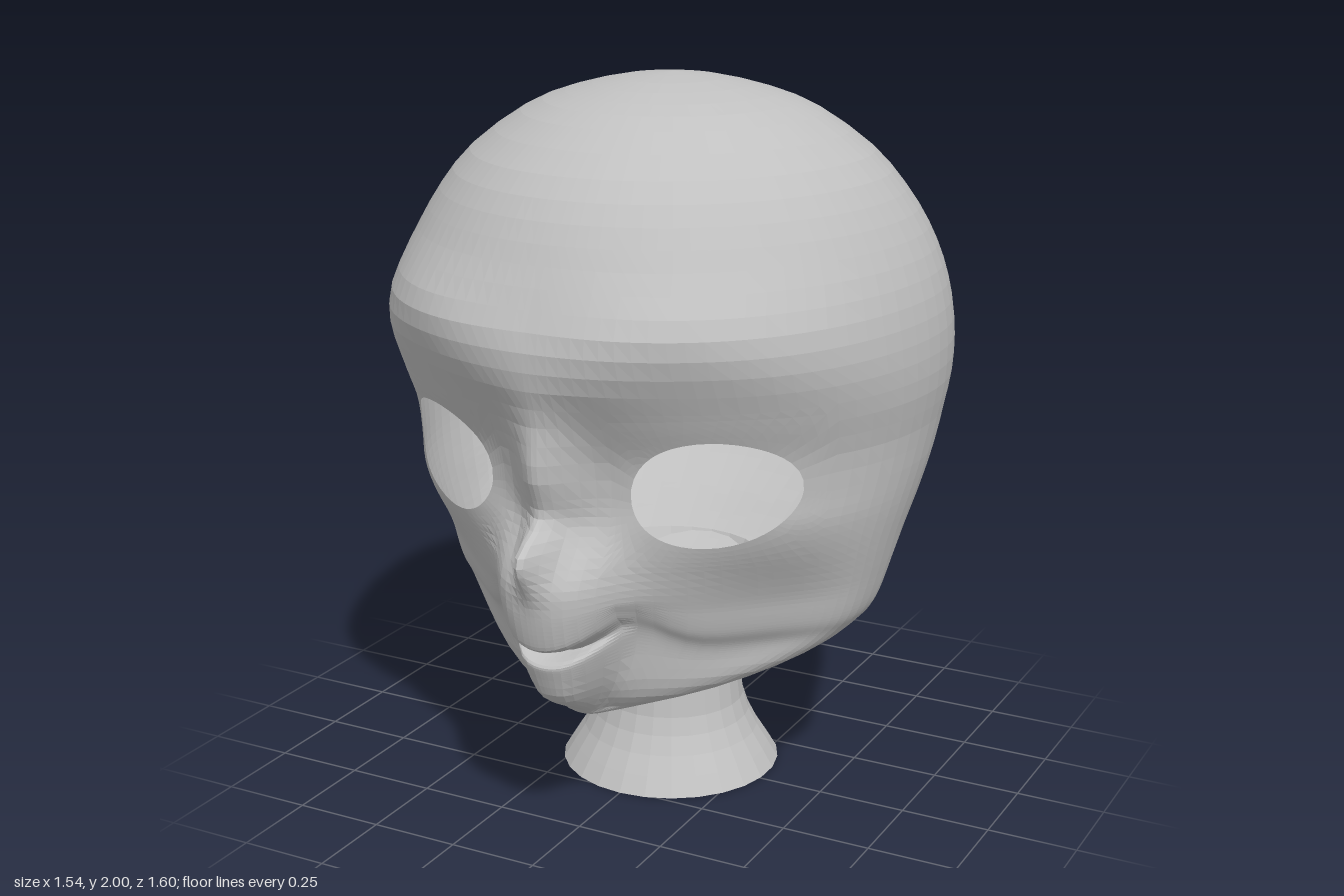
import * as THREE from 'three';

// head sections from crown to chin: y, half width, front z, back z, z of widest point
const SECTIONS = [
  [2, 0, -0.05, -0.05, -0.05], [1.985, 0.14, 0.1, -0.18, -0.05], [1.95, 0.29, 0.25, -0.31, -0.06],
  [1.9, 0.412, 0.375, -0.415, -0.07], [1.8, 0.55, 0.52, -0.545, -0.08], [1.7, 0.635, 0.605, -0.635, -0.09],
  [1.6, 0.695, 0.66, -0.7, -0.1], [1.5, 0.737, 0.71, -0.75, -0.1], [1.4, 0.762, 0.75, -0.782, -0.1],
  [1.3, 0.772, 0.738, -0.795, -0.1], [1.2, 0.768, 0.672, -0.79, -0.1], [1.1, 0.75, 0.618, -0.77, -0.1],
  [1, 0.735, 0.6, -0.735, -0.08], [0.9, 0.715, 0.608, -0.67, -0.05], [0.8, 0.69, 0.62, -0.57, -0.03],
  [0.7, 0.665, 0.625, -0.435, -0.03], [0.6, 0.635, 0.605, -0.3, -0.02], [0.55, 0.6, 0.58, -0.19, 0],
  [0.5, 0.545, 0.56, -0.07, 0.04], [0.45, 0.46, 0.54, 0.01, 0.1], [0.4, 0.34, 0.51, 0.07, 0.18],
  [0.36, 0.2, 0.48, 0.15, 0.28], [0.333, 0.06, 0.47, 0.36, 0.42], [0.33, 0, 0.42, 0.42, 0.42],
];
const LAST = SECTIONS.length - 1;
const rowOf = (y) => SECTIONS.findIndex((r) => r[0] === y);
const bell = (d, width) => Math.exp(-((d / width) ** 2));
const { smoothstep, lerp, clamp } = THREE.MathUtils;

// smooth interpolation of one section column at row position s
function section(s, col) {
  const i = clamp(Math.floor(s), 0, LAST - 1), t = s - i;
  const p = (k) => SECTIONS[clamp(i + k, 0, LAST)][col];
  const [a, b, c, d] = [p(-1), p(0), p(1), p(2)];
  return b + 0.5 * t * (c - a + t * (2 * a - 5 * b + 4 * c - d + t * (3 * (b - c) + d - a)));
}

// point on the head: angle 0 faces front, s runs down the sections
function headPoint(angle, s) {
  let y = section(s, 0);
  const sin = Math.sin(angle), cos = Math.cos(angle);
  const w = section(s, 1), mid = section(s, 4);
  if (cos <= 0) {
    // hollow between the jaw and the neck
    const pinch = 1 + 0.25 * (1 - smoothstep(y, 0.55, 0.9));
    return [w * Math.sign(sin) * Math.abs(sin) ** pinch, y, mid + (mid - section(s, 3)) * cos];
  }
  const x = w * sin, ax = Math.abs(x);
  // the brow ridge arches over each eye
  const arch = 0.8 * bell(ax - 0.42, 0.28) * bell(y - 1.4, 0.16);
  let z = mid + (section(s + arch, 2) - mid) * cos;
  // fuller brow corners, and cheeks that slope back to the jaw
  const corner = (2 * sin * cos) ** 2;
  z += 0.03 * corner * bell(y - 1.4, 0.15);
  z -= 0.13 * corner * (1 - smoothstep(y, 0.65, 0.95)) * smoothstep(y, 0.36, 0.55);
  // nose bridge and tip
  z += 0.11 * bell(x, 0.09) * bell(y - 1.06, 0.15);
  z += 0.125 * bell(x, 0.045) * bell(y - 0.872, y > 0.872 ? 0.06 : 0.085);
  // muzzle, narrowing to the chin
  const width = lerp(0.06, 0.17, smoothstep(y, 0.36, 0.64));
  z += 0.11 * (1 - smoothstep(y, 0.75, 0.95)) * smoothstep(y, 0.3, 0.45) * Math.exp(-((x / width) ** 4));
  // mouth groove, with raised corners
  z -= 0.09 * Math.max(0, 1 - (x / 0.18) ** 2) * bell(y - 0.567, 0.016);
  const lift = ax < 0.17 ? (ax / 0.17) ** 2 : bell(ax - 0.17, 0.1);
  y += 0.085 * lift * bell(y - 0.585, 0.1);
  return [x, y, z];
}

function buildGeometry(triangles) {
  const geometry = new THREE.BufferGeometry();
  geometry.setAttribute('position', new THREE.Float32BufferAttribute(triangles.flat(), 3));
  geometry.computeVertexNormals();
  return geometry;
}
const addQuad = (out, a, b, c, d) => out.push(a, b, c, a, c, d);

// grid lines: closer columns on the face, closer rows from nose to mouth
const EYE_COLS = [6, 19];
const half = [];
for (let i = 0; i <= 26; i++) half.push((Math.PI / 2) * (i / 26) ** 1.35);
for (let i = 1; i <= 16; i++) half.push(Math.PI / 2 * (1 + i / 16));
const angles = [...half.slice(1).reverse().map((a) => -a), ...half];
const rows = [];
for (let s = 0; s < LAST; s += s < rowOf(1) || s >= rowOf(0.5) ? 0.5 : s < rowOf(0.7) ? 0.25 : 0.125) rows.push(s);
rows.push(LAST);
const eyeTop = rows.indexOf(rowOf(1.2) - 0.5), eyeBottom = rows.indexOf(rowOf(0.8));

function headGeometry() {
  const out = [], centre = half.length - 1;
  for (let i = 0; i < rows.length - 1; i++) {
    for (let j = 0; j < angles.length - 1; j++) {
      // leave room for the eye surrounds
      const k = j >= centre ? j - centre : centre - 1 - j;
      if (i >= eyeTop && i < eyeBottom && k >= EYE_COLS[0] && k < EYE_COLS[1]) continue;
      const a = headPoint(angles[j], rows[i]), b = headPoint(angles[j], rows[i + 1]);
      const c = headPoint(angles[j + 1], rows[i + 1]), d = headPoint(angles[j + 1], rows[i]);
      // leave the inside of the neck open
      const x = (a[0] + c[0]) / 2, z = (a[2] + c[2]) / 2;
      if (a[1] < 0.72 && Math.hypot(x, z + 0.045) < 0.17) continue;
      addQuad(out, a, b, c, d);
    }
  }
  return buildGeometry(out);
}

// rings running from the eye opening out to the head grid
function eyeSurroundGeometry(side) {
  const [c0, c1] = EYE_COLS, rim = [], out = [];
  const midA = 0.59, midS = (rows[eyeTop] + rows[eyeBottom]) / 2;
  for (let i = eyeTop; i <= eyeBottom; i++) {
    for (let k = c0; k <= c1; k++) {
      if (i > eyeTop && i < eyeBottom && k > c0 && k < c1) continue;
      const turn = Math.atan2((midS - rows[i]) / 2.25, (half[k] - midA) / 0.4);
      rim.push({ angle: half[k], s: rows[i], turn });
    }
  }
  rim.sort((a, b) => a.turn - b.turn);
  const point = (n, t) => {
    const { angle, s, turn } = rim[n % rim.length];
    const x = 0.393 + 0.188 * Math.cos(turn);
    const y = 1.018 + 0.148 * Math.sin(turn) + 0.01 * Math.cos(turn);
    const holeS = rowOf(1.2) + (1.2 - y) / 0.1;
    const holeA = Math.asin(x / section(holeS, 1));
    return headPoint(side * lerp(holeA, angle, t), lerp(holeS, s, t));
  };
  const steps = 5;
  for (let r = 0; r < steps; r++) {
    for (let n = 0; n < rim.length; n++) {
      const q = [point(n, r / steps), point(n, (r + 1) / steps), point(n + 1, (r + 1) / steps), point(n + 1, r / steps)];
      if (side < 0) q.reverse();
      addQuad(out, ...q);
    }
  }
  return buildGeometry(out);
}

export function createModel() {
  const model = new THREE.Group();
  model.name = 'headBust';
  const grey = new THREE.MeshStandardMaterial({ color: 0xc0c0c0, flatShading: true, side: THREE.DoubleSide });
  grey.name = 'plain grey';
  const add = (name, geometry) => {
    const mesh = new THREE.Mesh(geometry, grey);
    mesh.name = name;
    model.add(mesh);
    return mesh;
  };

  add('head', headGeometry());
  add('leftEyeSurround', eyeSurroundGeometry(1));
  add('rightEyeSurround', eyeSurroundGeometry(-1));

  // flared neck, open at both ends
  const profile = [[0.315, 0], [0.285, 0.05], [0.253, 0.1], [0.228, 0.15], [0.212, 0.2], [0.202, 0.28],
    [0.198, 0.36], [0.2, 0.43], [0.215, 0.5], [0.24, 0.56], [0.265, 0.61]];
  const neck = add('neck', new THREE.LatheGeometry(profile.map(([r, y]) => new THREE.Vector2(r, y)), 26));
  neck.position.z = -0.045;
  return model;
}
